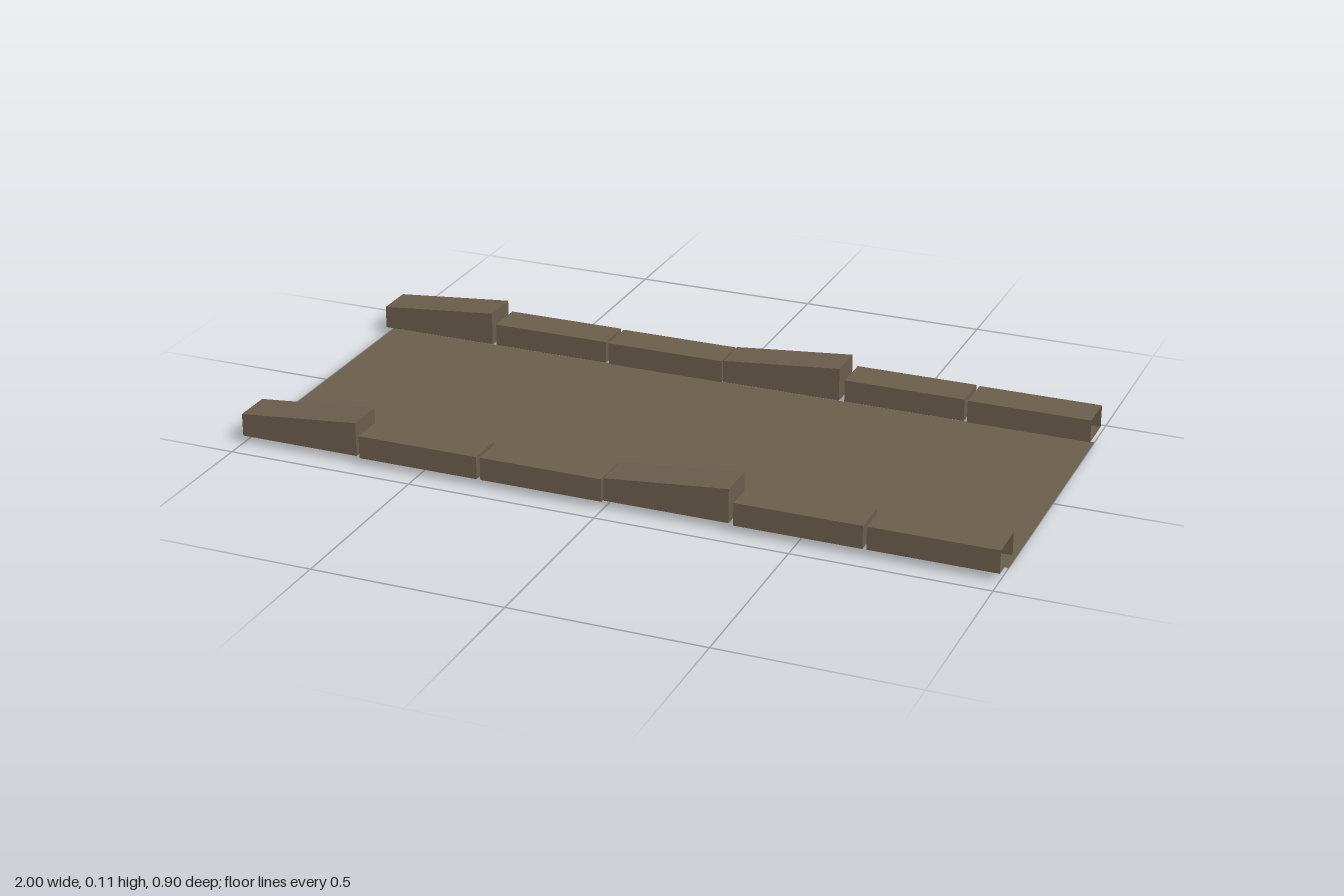
import * as THREE from 'three';

const stone = new THREE.MeshStandardMaterial({ color: 0x6b5e4c, side: THREE.DoubleSide });
stone.name = 'brown stone';

const LENGTH = 0.325, WIDTH = 0.103, BOTTOM = 0.02, TOP = 0.08, RAISED = 0.11;

// One kerb block; a raised block slopes up toward +x, an open one lacks its +x end.
function kerbBlock(raised, open) {
  const geo = new THREE.BoxGeometry(LENGTH, TOP - BOTTOM, WIDTH);
  geo.translate(0, (TOP + BOTTOM) / 2, 0);
  const pos = geo.attributes.position;
  if (raised) {
    for (let i = 0; i < pos.count; i++) {
      if (pos.getX(i) > 0 && pos.getY(i) > 0.05) pos.setY(i, RAISED);
    }
  }
  if (open) {
    geo.setIndex(Array.from(geo.index.array).slice(6));
    geo.clearGroups();
  }
  const flat = geo.toNonIndexed();
  flat.computeVertexNormals();
  return new THREE.Mesh(flat, stone);
}

export function createModel() {
  const model = new THREE.Group();
  model.name = 'pathSection';

  // Thin road surface
  const road = new THREE.Mesh(new THREE.PlaneGeometry(2, 0.762), stone);
  road.name = 'roadSurface';
  road.rotation.x = -Math.PI / 2;
  road.position.z = -0.007;
  model.add(road);

  // Two rows of kerb blocks, slightly out of line with one another
  const starts = [-1, -0.663, -0.328, 0, 0.34, 0.675];
  const rows = [
    { name: 'frontKerb', z: [0.389, 0.397, 0.397, 0.389, 0.397, 0.397] },
    { name: 'backKerb', z: [-0.397, -0.397, -0.393, -0.397, -0.397, -0.393] },
  ];
  for (const row of rows) {
    const kerb = new THREE.Group();
    kerb.name = row.name;
    starts.forEach((x, i) => {
      const block = kerbBlock(i % 3 === 0, i === starts.length - 1);
      block.name = `${row.name}Block${i + 1}`;
      block.position.set(x + LENGTH / 2, 0, row.z[i]);
      kerb.add(block);
    });
    model.add(kerb);
  }
  return model;
}
